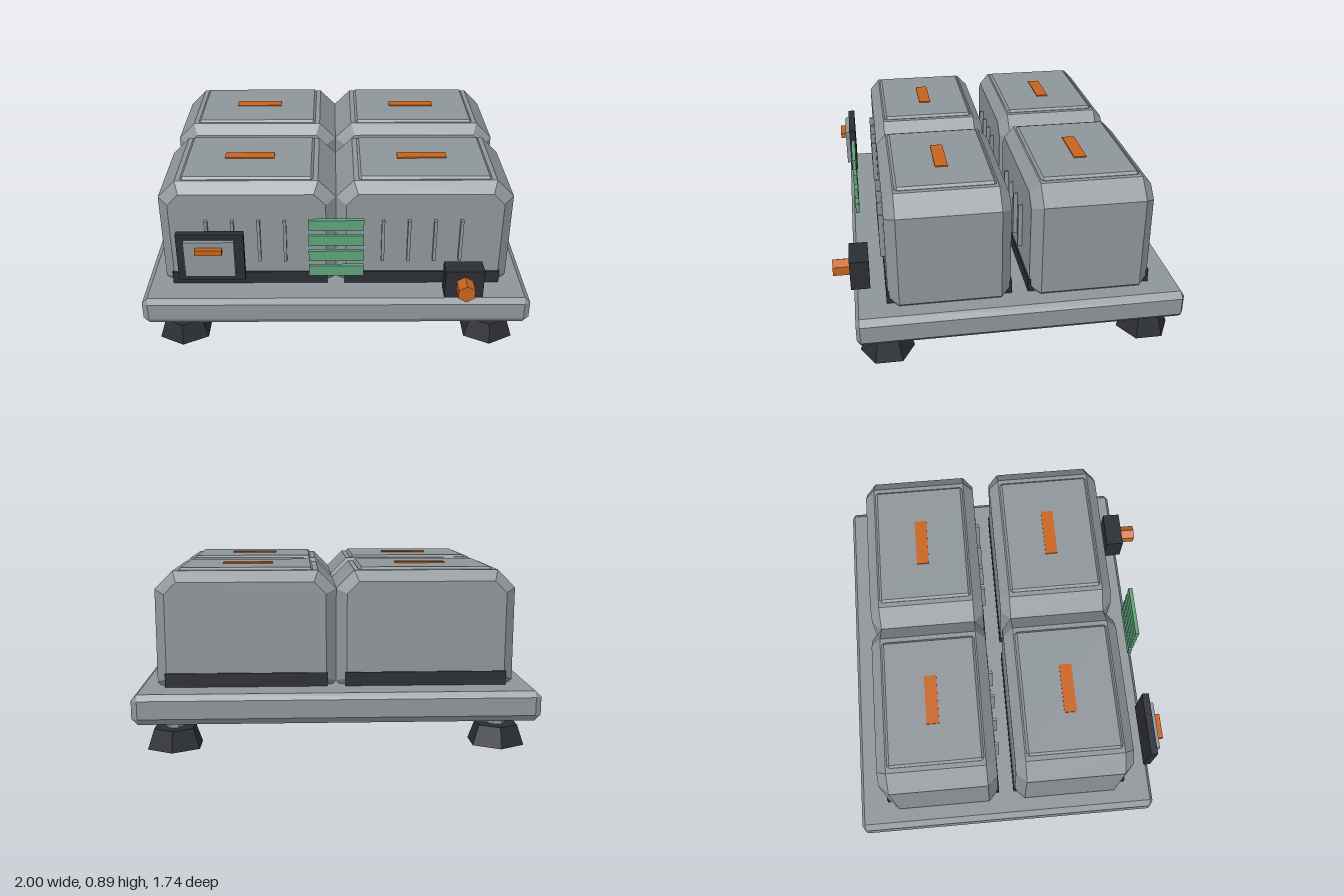
import * as THREE from 'three';
import { ConvexGeometry } from 'three/addons/geometries/ConvexGeometry.js';

const material = (name, color) => {
  const m = new THREE.MeshStandardMaterial({ color, flatShading: true });
  m.name = name;
  return m;
};

// Box with every edge chamfered, with a separate cut for each axis
function chamferBox(w, h, d, cx, cy, cz) {
  const points = [];
  for (const sx of [-1, 1]) for (const sy of [-1, 1]) for (const sz of [-1, 1]) {
    const x = w / 2, y = h / 2, z = d / 2;
    points.push(
      new THREE.Vector3(sx * x, sy * (y - cy), sz * (z - cz)),
      new THREE.Vector3(sx * (x - cx), sy * y, sz * (z - cz)),
      new THREE.Vector3(sx * (x - cx), sy * (y - cy), sz * z));
  }
  return new ConvexGeometry(points);
}

// Octagonal section extruded along z with bevelled front and back edges
function housingGeometry(w, bottom, top, depth, cut, bevel) {
  const x = w / 2;
  const shape = new THREE.Shape([
    [-x + cut, bottom], [x - cut, bottom], [x, bottom + cut], [x, top - cut],
    [x - cut, top], [-x + cut, top], [-x, top - cut], [-x, bottom + cut],
  ].map(([a, b]) => new THREE.Vector2(a, b)));
  const geometry = new THREE.ExtrudeGeometry(shape, {
    depth: depth - 2 * bevel, bevelEnabled: true, bevelSegments: 1,
    bevelSize: bevel, bevelThickness: bevel, bevelOffset: -bevel,
  });
  return geometry.translate(0, 0, bevel - depth / 2);
}

export function createModel() {
  const model = new THREE.Group();
  model.name = 'modularUnit';
  const grey = material('casing grey', 0x8f969a);
  const dark = material('dark trim', 0x2c2e36);
  const orange = material('orange accent', 0xc8641e);
  const green = material('green slat', 0x5fa37c);

  const add = (parent, name, geometry, mat, x, y, z) => {
    const mesh = new THREE.Mesh(geometry, mat);
    mesh.name = name;
    mesh.position.set(x, y, z);
    parent.add(mesh);
    return mesh;
  };
  const box = (w, h, d) => new THREE.BoxGeometry(w, h, d);

  // Base tray
  add(model, 'base', chamferBox(2, 0.15, 1.642, 0.03, 0.03, 0.018), grey, 0, 0.22, -0.049);

  // Four feet on short posts
  for (const x of [-0.81, 0.81]) for (const z of [0.622, -0.72]) {
    const foot = add(model, 'foot', new THREE.CylinderGeometry(0.104, 0.138, 0.1, 6), dark, x, 0.05, z);
    foot.scale.x = 1.07;
    add(model, 'footPost', new THREE.CylinderGeometry(0.043, 0.043, 0.07, 6).rotateY(Math.PI / 2),
      grey, x, 0.125, z);
  }

  // Four bevelled modules, each with lid, label, skirt and front ribs
  const housing = housingGeometry(0.9, 0.22, 0.872, 0.61, 0.09, 0.052);
  const lid = chamferBox(0.67, 0.04, 0.49, 0.012, 0.012, 0.012);
  for (const x of [-0.45, 0.45]) for (const z of [0.303, -0.402]) {
    const unit = new THREE.Group();
    unit.name = 'module';
    unit.position.set(x, 0, z);
    add(unit, 'housing', housing, grey, 0, 0, 0);
    add(unit, 'lid', lid, grey, 0, 0.866, 0);
    add(unit, 'label', box(0.258, 0.009, 0.064), orange, 0, 0.8875, 0);
    add(unit, 'skirt', box(0.81, 0.075, 0.624), dark, 0, 0.327, 0);
    for (let i = 0; i < 4; i++) {
      add(unit, 'rib', box(0.016, 0.235, 0.04), grey, -0.21 + i * 0.133, 0.557, 0.307);
    }
    model.add(unit);
  }

  // Display panel
  add(model, 'displayFrame', box(0.335, 0.263, 0.036), dark, -0.625, 0.547, 0.74);
  add(model, 'displayScreen', box(0.25, 0.2, 0.025), grey, -0.628, 0.548, 0.768);
  add(model, 'displayButton', box(0.134, 0.028, 0.034), orange, -0.628, 0.605, 0.793);

  // Stack of green slats
  for (let i = 0; i < 4; i++) {
    add(model, 'slat', box(0.274, 0.058, 0.02), green, 0, 0.456 + i * 0.088, 0.733);
  }

  // Connector block with a hexagonal plug
  add(model, 'connectorBlock', box(0.196, 0.156, 0.096), dark, 0.647, 0.397, 0.738);
  add(model, 'connectorPlug', new THREE.CylinderGeometry(0.047, 0.047, 0.1, 6).rotateX(Math.PI / 2),
    orange, 0.647, 0.397, 0.82);

  return model;
}
